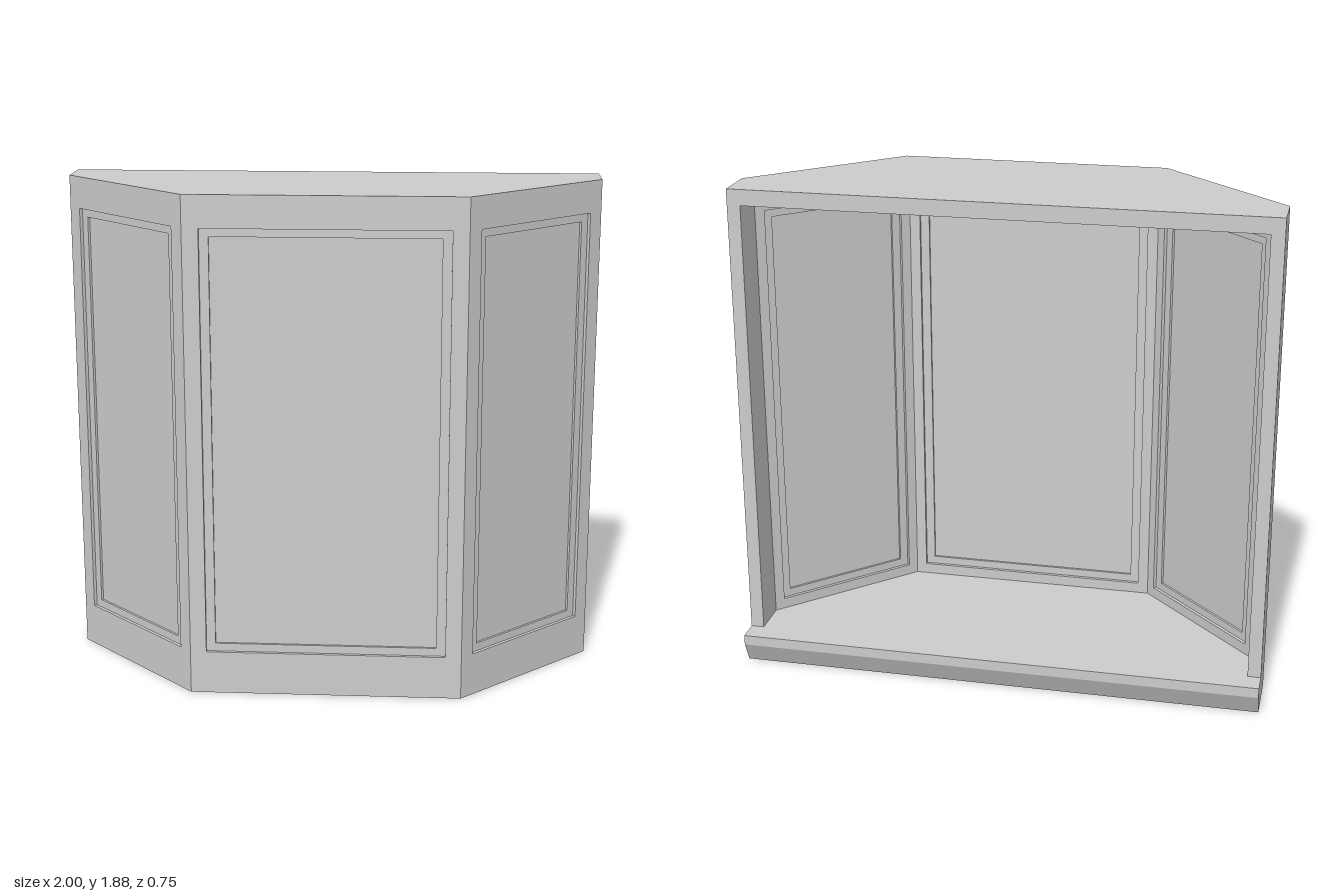
import * as THREE from 'three';

const HEIGHT = 1.88, WALL = 0.05, FLOOR = 0.122, CEILING = 1.82;
const FRONT = 0.373, BACK = -0.288;
const MITRE = WALL * Math.tan(Math.PI / 8);
const material = new THREE.MeshStandardMaterial({ color: 0xcccccc, flatShading: true });

function mesh(name, geometry) {
  const m = new THREE.Mesh(geometry, material);
  m.name = name;
  return m;
}

function rectangle(path, x, y0, y1) {
  path.moveTo(-x, y0);
  path.lineTo(x, y0);
  path.lineTo(x, y1);
  path.lineTo(-x, y1);
  path.closePath();
  return path;
}

function extrude(shape, depth) {
  return new THREE.ExtrudeGeometry(shape, { depth, bevelEnabled: false });
}

// Upright wall from plan point a to b, outer face on local z = 0, ends mitred inside
function wallPanel(name, a, b, mitreA, mitreB, hasWindow) {
  const group = new THREE.Group();
  group.name = name;
  const length = a.distanceTo(b), half = length / 2;
  const shape = rectangle(new THREE.Shape(), half, 0, HEIGHT);
  const margin = 0.06, sashWidth = 0.034;
  const openX = half - margin, y0 = 0.163, y1 = 1.76;
  if (hasWindow) shape.holes.push(rectangle(new THREE.Path(), openX, y0, y1));

  const wall = extrude(shape, WALL).translate(0, 0, -WALL);
  const p = wall.attributes.position;
  for (let i = 0; i < p.count; i++) {
    if (p.getZ(i) > -WALL / 2) continue;
    const x = p.getX(i);
    if (x < -half + 1e-4) p.setX(i, x + mitreA);
    if (x > half - 1e-4) p.setX(i, x - mitreB);
  }
  wall.computeVertexNormals();
  group.add(mesh('wall', wall));

  if (hasWindow) {
    // Stepped sash with a thin pane
    const sash = rectangle(new THREE.Shape(), openX, y0, y1);
    const paneX = openX - sashWidth, p0 = y0 + sashWidth * 0.9, p1 = y1 - sashWidth * 0.9;
    sash.holes.push(rectangle(new THREE.Path(), paneX, p0, p1));
    group.add(mesh('sash', extrude(sash, 0.024).translate(0, 0, -0.037)));
    const pane = new THREE.BoxGeometry(paneX * 2, p1 - p0, 0.006);
    group.add(mesh('pane', pane.translate(0, (p0 + p1) / 2, -0.025)));
  }

  group.position.set((a.x + b.x) / 2, 0, (a.y + b.y) / 2);
  group.rotation.y = Math.atan2(-(b.y - a.y), b.x - a.x);
  return group;
}

// Horizontal slab following a plan of (x, z) points
function slab(name, plan, y0, y1) {
  const shape = new THREE.Shape(plan.map(([x, z]) => new THREE.Vector2(x, -z)));
  return mesh(name, extrude(shape, y1 - y0).rotateX(-Math.PI / 2).translate(0, y0, 0));
}

export function createModel() {
  const model = new THREE.Group();
  model.name = 'bayWindow';

  // Walls, running from the right jamb round the front to the left jamb
  const outer = [[-1, BACK], [-1, -0.12], [-0.507, FRONT], [0.507, FRONT], [1, -0.12], [1, BACK]]
    .map(([x, z]) => new THREE.Vector2(x, z));
  const names = ['rightJamb', 'rightWindow', 'frontWindow', 'leftWindow', 'leftJamb'];
  names.forEach((name, i) => model.add(wallPanel(
    name, outer[i], outer[i + 1],
    i === 0 ? 0 : MITRE, i === 4 ? 0 : MITRE, i > 0 && i < 4)));

  // Seat and roof fitted inside the walls
  const ix = 1 - WALL, iz = -0.12 - MITRE, fx = 0.507 - MITRE, fz = FRONT - WALL;
  const inner = [[-ix, BACK], [-ix, iz], [-fx, fz], [fx, fz], [ix, iz], [ix, BACK]];
  model.add(slab('seat', inner, 0, FLOOR));
  model.add(slab('roof', inner, CEILING, HEIGHT));

  // Projecting sill with a sloping underside
  const profile = [[BACK, 0], [-0.332, 0], [-0.373, 0.083], [-0.373, FLOOR], [BACK, FLOOR]];
  const sill = new THREE.Shape(profile.map(([z, y]) => new THREE.Vector2(-z, y)));
  model.add(mesh('sill', extrude(sill, 2).translate(0, 0, -1).rotateY(Math.PI / 2)));

  return model;
}
